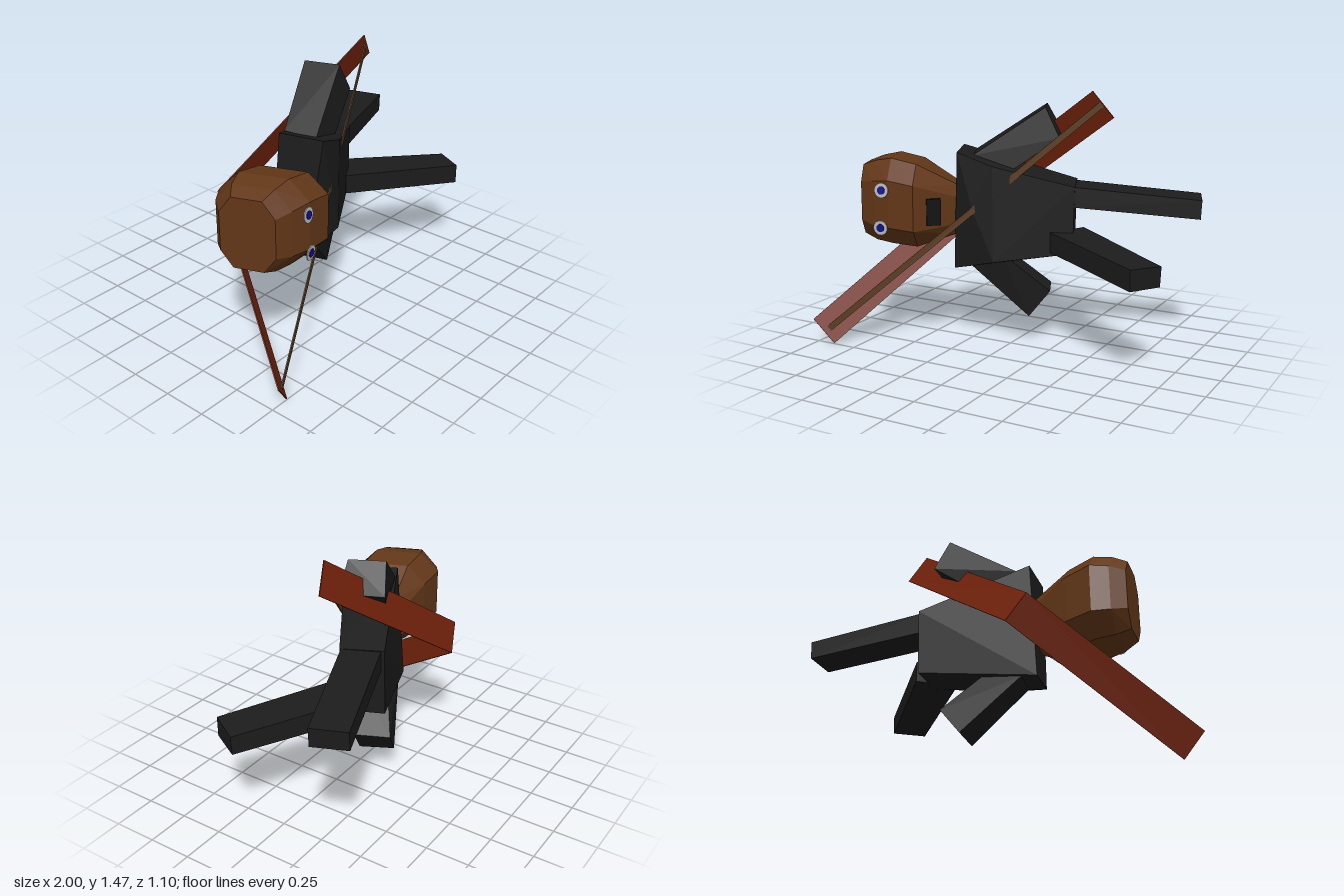
import * as THREE from 'three';
import { ConvexGeometry } from 'three/addons/geometries/ConvexGeometry.js';

const V = (x, y, z) => new THREE.Vector3(x, y, z);
const paint = (color) => new THREE.MeshStandardMaterial({ color, flatShading: true });

export function createModel() {
  const model = new THREE.Group();
  const cloth = paint(0x1c1c1c), skin = paint(0x633718), wood = paint(0x74230c);
  const cord = paint(0x5a3a1e), white = paint(0xbbbbbb), blue = paint(0x101090), black = paint(0x080808);

  const add = (name, geometry, material) => {
    const mesh = new THREE.Mesh(geometry, material);
    mesh.name = name;
    model.add(mesh);
    return mesh;
  };
  // Faceted solid around its corner points
  const solid = (name, corners, material) =>
    add(name, new ConvexGeometry(corners.map((c) => V(...c))), material);

  // Torso: shoulders, a slight chest ridge, then the waist
  solid('torso', [
    [-0.235, 1.127, 0.19], [-0.325, 1.14, -0.04], [-0.38, 0.45, -0.06], [-0.3, 0.445, 0.12],
    [-0.155, 0.82, 0.17], [-0.04, 1.055, 0.14], [-0.04, 0.51, 0.135],
    [0.35, 0.935, -0.1], [0.26, 0.945, -0.325], [0.25, 0.56, -0.325], [0.34, 0.555, -0.1],
  ], cloth);

  // Arms: shoulder corners, then hand corners
  solid('rightArm', [
    [-0.19, 1.1, 0.1], [-0.25, 1.12, -0.07], [-0.1, 0.98, -0.11], [-0.03, 0.98, 0.07],
    [0.19, 1.375, -0.05], [0.11, 1.38, -0.235], [0.19, 1.215, -0.28], [0.28, 1.21, -0.045],
  ], cloth);
  solid('leftArm', [
    [-0.21, 0.47, 0.09], [-0.29, 0.465, -0.08], [-0.1, 0.54, -0.12], [-0.02, 0.54, 0.05],
    [0.09, 0.165, -0.055], [0.01, 0.175, -0.24], [0.12, 0.32, -0.28], [0.205, 0.32, -0.095],
  ], cloth);

  // Legs: hip corners, then foot corners
  solid('rightLeg', [
    [0.25, 0.94, -0.3], [0.33, 0.935, -0.1], [0.33, 0.82, -0.1], [0.25, 0.82, -0.3],
    [0.925, 0.88, -0.555], [0.995, 0.875, -0.365], [0.99, 0.768, -0.365], [0.92, 0.775, -0.555],
  ], cloth);
  solid('leftLeg', [
    [0.235, 0.68, -0.03], [0.34, 0.68, -0.25], [0.34, 0.56, -0.25], [0.235, 0.565, -0.03],
    [0.86, 0.63, 0.33], [0.96, 0.62, 0.155], [0.955, 0.51, 0.155], [0.86, 0.515, 0.33],
  ], cloth);

  // Head: boxy eight-sided rings from crown to neck, each square to the body axis
  const rings = [ // x, y, z, half height, half depth
    [-0.835, 0.83, 0.205, 0.2, 0.15],
    [-0.76, 0.83, 0.18, 0.23, 0.205],
    [-0.66, 0.835, 0.16, 0.245, 0.245],
    [-0.5, 0.82, 0.15, 0.235, 0.24],
    [-0.31, 0.785, 0.04, 0.14, 0.1],
  ];
  const headPoints = [];
  for (const [x, y, z, h, d] of rings)
    for (const [c, s] of [[1, 0.55], [0.55, 1]])
      for (const i of [-1, 1]) for (const j of [-1, 1])
        headPoints.push([x + 0.37 * c * d * i, y + s * h * j, z + 0.92 * c * d * i]);
  solid('head', headPoints, skin);

  // Eyes: thin pale discs with blue pupils
  const disc = (name, radius, center, normal, material) => {
    const mesh = add(name, new THREE.CylinderGeometry(radius, radius, 0.006, 16), material);
    mesh.position.copy(center);
    mesh.quaternion.setFromUnitVectors(V(0, 1, 0), normal);
  };
  [['rightEye', V(-0.6, 0.915, 0.4), V(0.17, 0.1, 1)],
    ['leftEye', V(-0.6, 0.705, 0.415), V(0.2, -0.05, 1)]].forEach(([name, p, n]) => {
    n.normalize();
    disc(name, 0.042, p, n, white);
    disc(name + 'Pupil', 0.023, p.clone().addScaledVector(n, 0.004), n, blue);
  });

  // Mouth slab on the lower face
  const mouth = add('mouth', new THREE.BoxGeometry(0.08, 0.15, 0.02), black);
  mouth.position.set(-0.34, 0.795, 0.272);
  mouth.rotation.y = 0.75;

  // Bow: two thin limbs meeting behind the shoulders, strung through the chest
  const across = V(0.108, -0.143, -0.045);
  const strip = (name, from, to, width, material) => {
    const w = across.clone().setLength(width / 2);
    const n = to.clone().sub(from).cross(across).setLength(0.003);
    const corners = [];
    for (const p of [from, to]) for (const i of [-1, 1]) for (const j of [-1, 1])
      corners.push(p.clone().addScaledVector(w, i).addScaledVector(n, j).toArray());
    solid(name, corners, material);
  };
  const grip = V(-0.475, 0.715, -0.335);
  strip('lowerLimb', V(-0.945, 0.077, 0.52), grip, 0.185, wood);
  strip('upperLimb', V(0.508, 1.4, -0.108), grip, 0.185, wood);
  strip('bowString', V(-0.925, 0.09, 0.495), V(0.5, 1.4, -0.108), 0.035, cord);

  return model;
}
